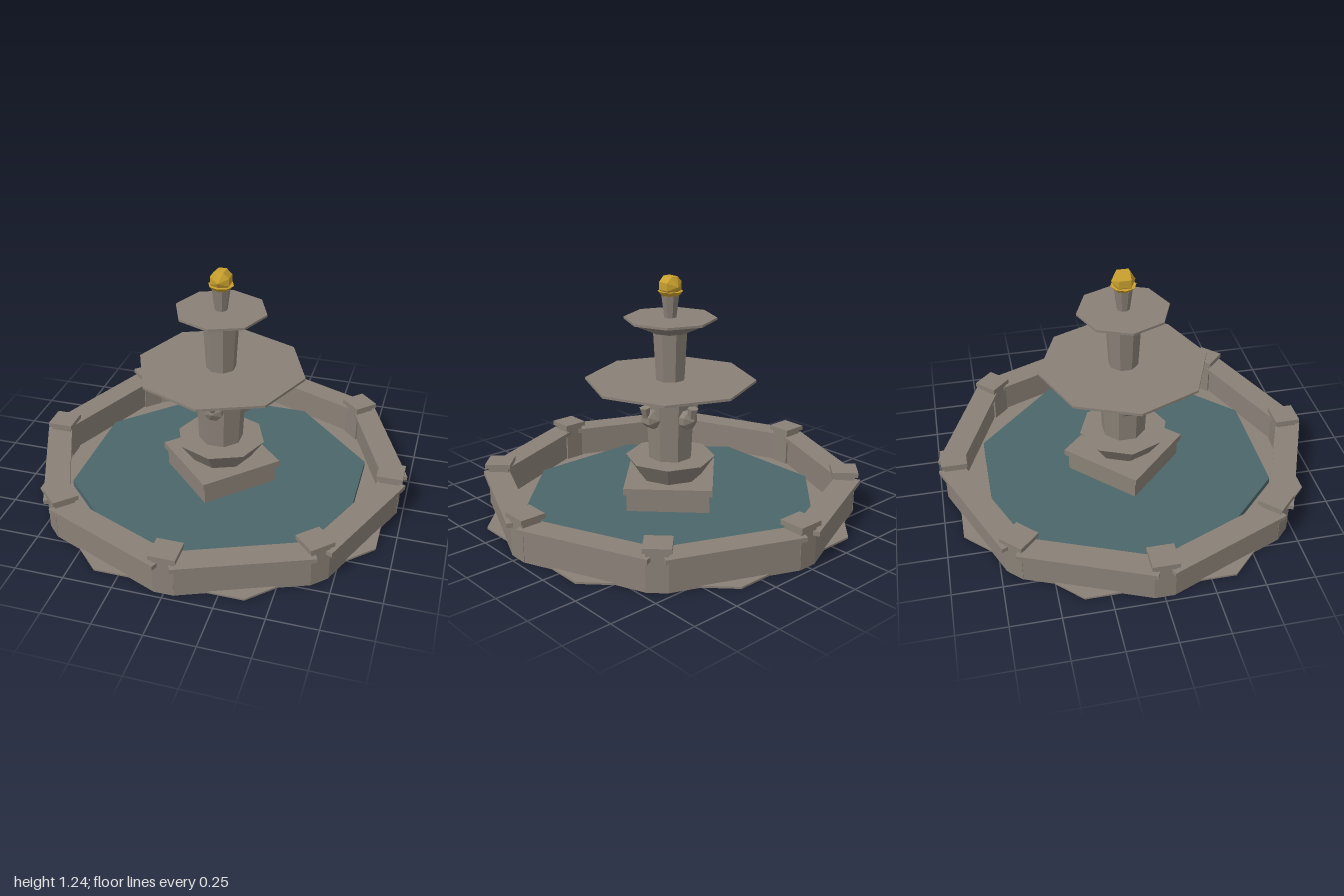
import * as THREE from 'three';

const mat = (name, color) => {
  const m = new THREE.MeshStandardMaterial({ color, flatShading: true });
  m.name = name;
  return m;
};

export function createModel() {
  const stone = mat('stone', 0x8a8177);
  const water = mat('water', 0x4c666b);
  const gold = mat('gold', 0xc9a02e);

  const root = new THREE.Group();
  root.name = 'fountain';
  const FLAT = Math.PI / 8; // turns a flat side of an octagon to the front

  const add = (parent, name, geo, material, x = 0, y = 0, z = 0) => {
    const mesh = new THREE.Mesh(geo, material);
    mesh.name = name;
    mesh.position.set(x, y, z);
    parent.add(mesh);
    return mesh;
  };
  // Faceted tapered drum between two heights
  const drum = (name, y0, y1, r0, r1, turn = 0, material = stone, sides = 8) => {
    const mesh = add(root, name, new THREE.CylinderGeometry(r1, r0, y1 - y0, sides), material, 0, (y0 + y1) / 2, 0);
    mesh.rotation.y = turn;
    return mesh;
  };
  // Coarse ball with its poles facing front and back
  const ball = (r) => new THREE.SphereGeometry(r, 8, 3).rotateZ(0).rotateY(FLAT).rotateX(Math.PI / 2);

  // Floor and pool
  drum('floorSlab', 0, 0.01, 0.985, 0.985, FLAT);
  drum('poolWater', 0.01, 0.045, 0.806, 0.806, FLAT, water);

  // Pool wall: eight straight segments with eight posts between them
  for (let i = 0; i < 8; i++) {
    const segment = new THREE.Group();
    segment.name = 'wallSegment';
    segment.rotation.y = FLAT + (i * Math.PI) / 4;
    add(segment, 'wallBody', new THREE.BoxGeometry(0.65, 0.155, 0.085), stone, 0, 0.0775, 0.8725);
    add(segment, 'wallCoping', new THREE.BoxGeometry(0.69, 0.023, 0.13), stone, 0, 0.1665, 0.875);
    root.add(segment);

    const post = new THREE.Group();
    post.name = 'wallPost';
    post.rotation.y = (i * Math.PI) / 4;
    add(post, 'postBody', new THREE.BoxGeometry(0.105, 0.2, 0.105), stone, 0, 0.1, 0.918);
    add(post, 'postCap', new THREE.BoxGeometry(0.135, 0.025, 0.135), stone, 0, 0.2125, 0.918);
    root.add(post);
  }

  // Square plinth and flared foot
  drum('plinth', 0.01, 0.14, 0.303, 0.303, 0, stone, 4);
  drum('plinthLip', 0.14, 0.175, 0.325, 0.325, 0, stone, 4);
  drum('flaredFoot', 0.175, 0.28, 0.165, 0.237);

  // Lower column and wide bowl
  drum('lowerColumn', 0.28, 0.59, 0.118, 0.133, FLAT);
  drum('lowerBowl', 0.59, 0.69, 0.14, 0.435);
  drum('lowerBowlRim', 0.69, 0.703, 0.445, 0.445);

  // Upper column and small bowl
  drum('upperColumn', 0.70, 0.96, 0.078, 0.093, FLAT);
  drum('upperBowl', 0.955, 1.018, 0.095, 0.23);
  drum('upperBowlRim', 1.018, 1.03, 0.238, 0.238);

  // Finial
  drum('finialStem', 1.03, 1.145, 0.033, 0.048, FLAT);
  drum('finialCollar', 1.138, 1.165, 0.042, 0.066, 0, gold);
  add(root, 'finialBall', ball(0.061), gold, 0, 1.192, 0);

  // Four carved spouts around the lower column
  for (let i = 0; i < 4; i++) {
    const a = (i * Math.PI) / 2;
    add(root, 'spoutHead', ball(0.058), stone, Math.sin(a) * 0.125, 0.513, Math.cos(a) * 0.125);
    const arm = new THREE.Group();
    arm.name = 'spout';
    arm.rotation.y = a;
    const nozzle = add(arm, 'spoutNozzle', new THREE.CylinderGeometry(0.029, 0.018, 0.055, 6), stone, 0, 0.556, 0.17);
    nozzle.rotation.x = 0.15;
    root.add(arm);
  }

  return root;
}
